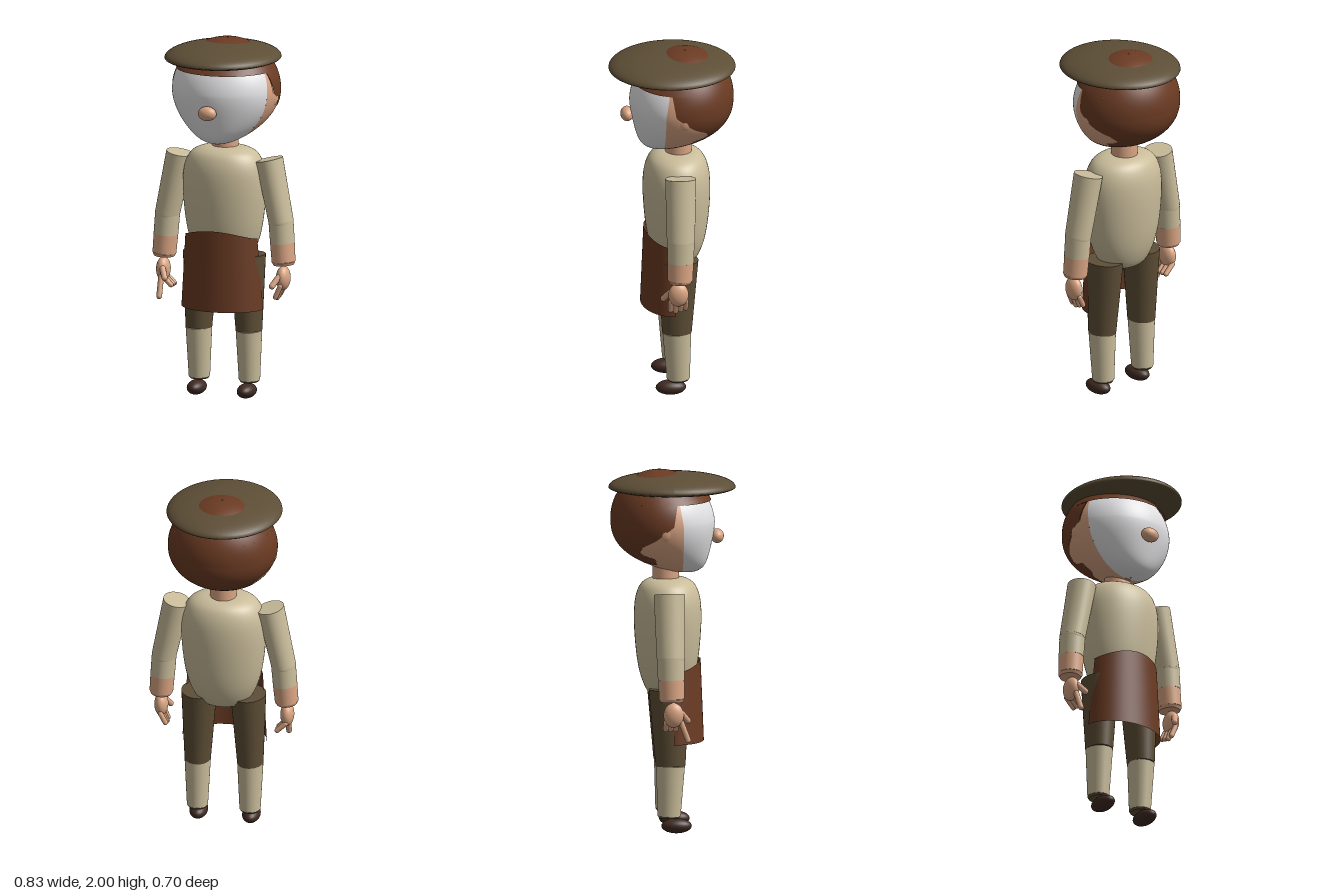
import * as THREE from 'three';
import { ParametricGeometry } from 'three/addons/geometries/ParametricGeometry.js';

const mat = (name, color, side = THREE.FrontSide) => {
  const m = new THREE.MeshStandardMaterial({ color, side });
  m.name = name;
  return m;
};

export function createModel() {
  const model = new THREE.Group();
  model.name = 'figure';
  const cream = mat('cream cloth', 0xcabd9b);
  const skin = mat('skin', 0xdba684);
  const brown = mat('chestnut brown', 0x6b3b23, THREE.DoubleSide);
  const olive = mat('dark olive', 0x5d4e36);
  const white = mat('white face', 0xe6e6e8);
  const dark = mat('shoe brown', 0x3f2a22);

  const add = (name, geometry, material, parent = model) => {
    const m = new THREE.Mesh(geometry, material);
    m.name = name;
    parent.add(m);
    return m;
  };
  const ball = (name, material, pos, size, parent) => {
    const m = add(name, new THREE.SphereGeometry(1, 32, 20), material, parent);
    m.position.set(...pos);
    m.scale.set(...size);
    return m;
  };
  // Tapered cylinder from a (upper) to b (lower)
  const limb = (name, material, a, b, ra, rb, depth = 1, parent) => {
    const A = new THREE.Vector3(...a), B = new THREE.Vector3(...b);
    const m = add(name, new THREE.CylinderGeometry(ra, rb, A.distanceTo(B), 32), material, parent);
    m.position.copy(A).add(B).multiplyScalar(0.5);
    m.quaternion.setFromUnitVectors(new THREE.Vector3(0, 1, 0), A.sub(B).normalize());
    m.scale.z = depth;
    return m;
  };
  const finger = (name, a, b, r, parent) => {
    const A = new THREE.Vector3(...a), B = new THREE.Vector3(...b);
    const m = add(name, new THREE.CapsuleGeometry(r, A.distanceTo(B), 6, 12), skin, parent);
    m.position.copy(A).add(B).multiplyScalar(0.5);
    m.quaternion.setFromUnitVectors(new THREE.Vector3(0, 1, 0), A.sub(B).normalize());
  };
  const clamp = THREE.MathUtils.clamp, lerp = THREE.MathUtils.lerp;

  // Head: an egg whose chin shifts forward, cut into patches row by row
  const head = new THREE.Group();
  head.name = 'head';
  model.add(head);
  const MID = 1.715, RY = 0.285;
  const row = (t) => {
    const r = Math.sqrt(Math.max(0, 1 - t * t));
    return {
      rx: 0.3 * r * (t < 0 ? 1 - 0.15 * t * t : 1),
      rz: 0.285 * r,
      c: -0.05 + (t < 0 ? -0.13 * t * t * t : -0.02 * t),
    };
  };
  // Angle from the front at which a row crosses depth z
  const angleAt = (t, z) => {
    const { rz, c } = row(t);
    return Math.acos(clamp((z - c) / rz, -1, 1));
  };
  const patch = (name, material, t0, t1, from, to, nu, nv, swell = () => 1) => {
    const th0 = Math.asin(t0), th1 = Math.asin(t1);
    add(name, new ParametricGeometry((u, v, p) => {
      const t = Math.sin(lerp(th0, th1, v));
      const a = lerp(from(t), to(t), u), { rx, rz, c } = row(t), s = swell(t, a);
      p.set(s * rx * Math.sin(a), MID + RY * t, c + s * rz * Math.cos(a));
    }, nu, nv), material, head);
  };
  // Hairline as [height, depth], top to bottom
  const hairline = [[1.84, 0.02], [1.72, 0], [1.68, -0.05], [1.64, -0.1], [1.6, -0.17], [1.565, -0.185],
    [1.545, -0.16], [1.53, -0.1], [1.49, -0.09], [1.482, -0.5], [1.4, -0.5]];
  const hairZ = (y) => {
    for (let i = 1; i < hairline.length; i++) {
      const [y0, z0] = hairline[i - 1], [y1, z1] = hairline[i];
      if (y >= y1) return lerp(z0, z1, clamp((y0 - y) / (y0 - y1), 0, 1));
    }
    return -0.5;
  };
  const faceEdge = (t) => angleAt(t, t > 0 ? 0.055 - 0.05 * t : 0.055);
  const hairEdge = (t) => Math.max(faceEdge(t), angleAt(t, hairZ(MID + RY * t)));
  const fringe = 0.42;
  patch('face', white, -0.9999, 0.55, (t) => -faceEdge(t), faceEdge, 40, 40);
  patch('leftCheek', skin, -0.9999, 0.55, faceEdge, hairEdge, 20, 90);
  patch('rightCheek', skin, -0.9999, 0.55, (t) => -hairEdge(t), (t) => -faceEdge(t), 20, 90);
  patch('backHair', brown, -0.83, fringe, hairEdge, (t) => 2 * Math.PI - hairEdge(t), 48, 80, () => 1.01);
  patch('topHair', brown, fringe, 0.9999, () => -Math.PI, () => Math.PI, 64, 24,
    (t, a) => 1.01 + 0.05 * Math.max(0, Math.cos(a)) * clamp(1 - (t - fringe) / 0.3, 0, 1));
  ball('nose', skin, [0, 1.63, 0.248], [0.053, 0.04, 0.037], head);
  for (const s of [1, -1]) ball('ear', skin, [s * 0.272, 1.69, -0.048], [0.03, 0.058, 0.047], head);

  // Beret: domed above, flatter below
  const beret = new THREE.SphereGeometry(1, 48, 32);
  const bp = beret.attributes.position;
  for (let i = 0; i < bp.count; i++) {
    const y = bp.getY(i);
    bp.setXYZ(i, bp.getX(i) * 0.318, 1.903 + y * (y > 0 ? 0.08 : 0.036), bp.getZ(i) * 0.35);
  }
  beret.computeVertexNormals();
  add('beret', beret, olive, head);

  // Neck and torso
  limb('neck', skin, [0, 1.5, -0.035], [0, 1.36, -0.035], 0.073, 0.073);
  const profile = [[0, 0.74], [0.09, 0.744], [0.14, 0.77], [0.185, 0.85], [0.213, 0.95], [0.23, 1.08], [0.235, 1.2],
    [0.225, 1.29], [0.195, 1.355], [0.15, 1.387], [0.09, 1.4], [0, 1.402]];
  const curve = new THREE.SplineCurve(profile.map(([x, y]) => new THREE.Vector2(x, y)));
  const pts = curve.getPoints(44).map((p) => new THREE.Vector2(Math.max(0, p.x), p.y));
  const torso = add('torso', new THREE.LatheGeometry(pts, 48), cream);
  torso.scale.z = 0.79;
  torso.position.z = -0.024;

  // Apron wrapping the front half
  add('apron', new ParametricGeometry((u, v, p) => {
    const a = (u - 0.5) * Math.PI * lerp(1, 0.9, v), k = Math.sin(a);
    p.set(lerp(0.235, 0.213, v) * k, lerp(0.5, 0.95 - 0.05 * k * k, v), lerp(0.175, 0.157, v) * Math.cos(a));
  }, 40, 12), brown);

  for (const s of [1, -1]) {
    const side = s > 0 ? 'left' : 'right';
    // Leg and shoe
    const leg = new THREE.Group();
    leg.name = side + 'Leg';
    model.add(leg);
    limb('trouser', olive, [s * 0.137, 0.8, -0.022], [s * 0.147, 0.375, -0.014], 0.098, 0.072, 1.14, leg);
    limb('stocking', cream, [s * 0.147, 0.375, -0.014], [s * 0.147, 0.097, -0.022], 0.072, 0.058, 1.1, leg);
    limb('ankleHem', olive, [s * 0.147, 0.097, -0.022], [s * 0.147, 0.085, -0.022], 0.057, 0.05, 1.1, leg);
    ball('shoe', dark, [s * 0.147, 0.041, 0.019], [0.05, 0.041, 0.084], leg);

    // Arm: sleeve, elbow and bare forearm
    const arm = new THREE.Group();
    arm.name = side + 'Arm';
    model.add(arm);
    limb('upperSleeve', cream, [s * 0.262, 1.342, -0.025], [s * 0.333, 1.0, -0.02], 0.075, 0.068, 1.14, arm);
    ball('elbow', cream, [s * 0.333, 1.0, -0.02], [0.068, 0.068, 0.0765], arm);
    limb('lowerSleeve', cream, [s * 0.333, 1.0, -0.02], [s * 0.342, 0.88, -0.018], 0.068, 0.067, 1.1, arm);
    limb('forearm', skin, [s * 0.342, 0.88, -0.018], [s * 0.35, 0.775, -0.015], 0.067, 0.065, 1.07, arm);
    limb('wristEnd', skin, [s * 0.35, 0.775, -0.015], [s * 0.351, 0.758, -0.015], 0.065, 0.057, 1.07, arm);

    // Hand: the right one points its first finger and curls the rest
    const hand = new THREE.Group();
    hand.name = side + 'Hand';
    model.add(hand);
    ball('palm', skin, [s * 0.352, 0.685, -0.005], [0.038, 0.068, 0.056], hand);
    for (let i = 0; i < 4; i++) {
      const z = 0.037 - i * 0.028;
      const knuckle = [s * 0.35, 0.645, z];
      if (s < 0 && i === 0) {
        finger('pointingFinger', knuckle, [-0.347, 0.545, 0.075], 0.016, hand);
      } else {
        const tip = s > 0 ? [0.322, 0.575 + 0.008 * Math.abs(i - 1), z] : [-0.303, 0.6, z];
        finger('finger', knuckle, tip, 0.0145, hand);
      }
    }
    finger('thumb', [s * 0.34, 0.695, 0.04], [s * 0.315, 0.65, 0.075], 0.017, hand);
  }
  return model;
}
